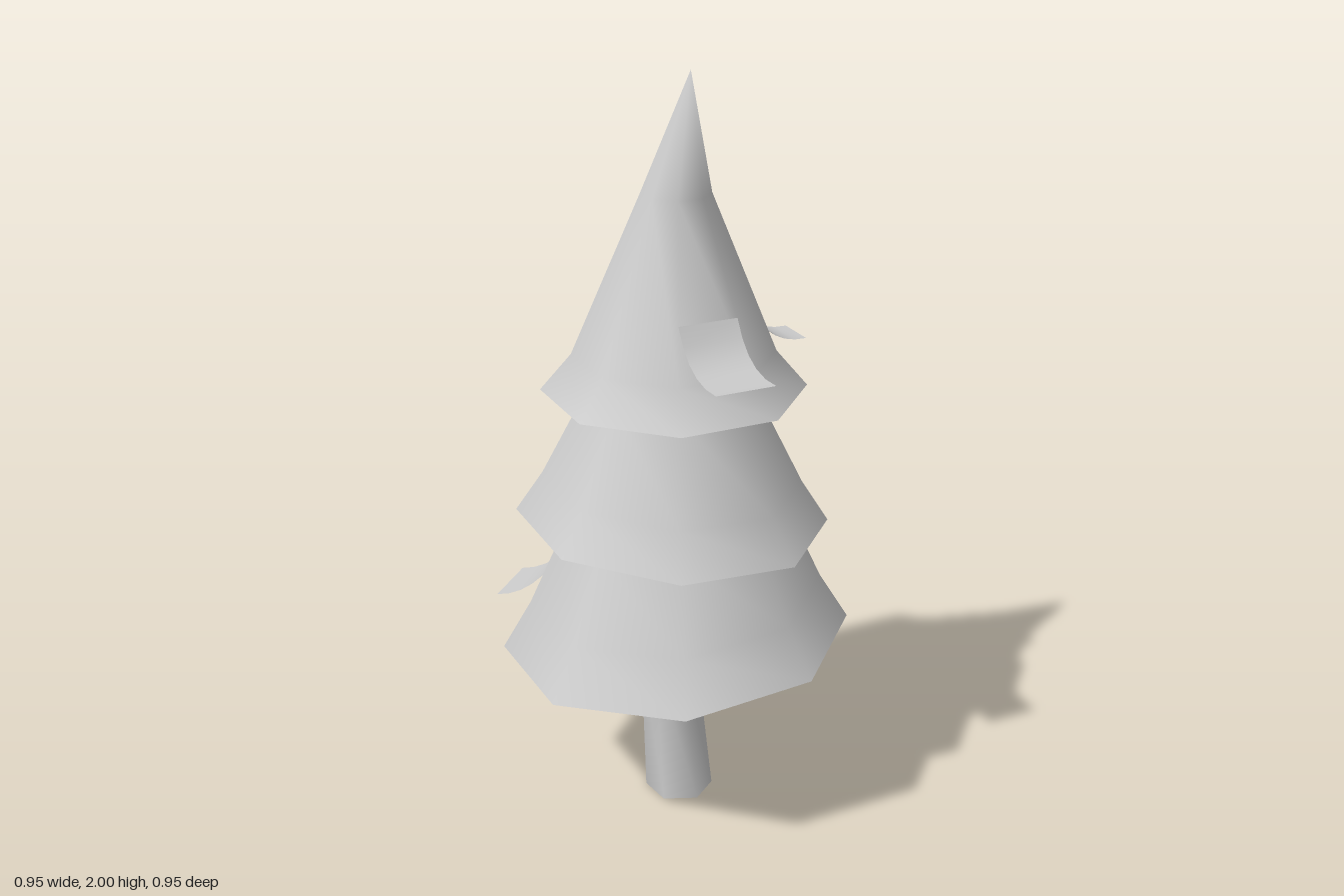
import * as THREE from 'three';
import { mergeVertices } from 'three/addons/utils/BufferGeometryUtils.js';

const material = new THREE.MeshStandardMaterial({ color: 0xcccccc });
const thinMaterial = new THREE.MeshStandardMaterial({ color: 0xcccccc, side: THREE.DoubleSide });

// Revolved profile of [radius, y, centreX], then leaned sideways and smoothed
function leaningLathe(profile, sides, tilt, cx, cz, start = 0) {
  const points = profile.map(([r, y]) => new THREE.Vector2(r, y));
  let geo = new THREE.LatheGeometry(points, sides, start);
  const pos = geo.attributes.position;
  for (let i = 0; i < pos.count; i++) {
    const shift = profile[i % profile.length][2] || 0;
    const x = pos.getX(i);
    pos.setXYZ(i, x + cx + shift, pos.getY(i) + tilt * x, pos.getZ(i) + cz);
  }
  geo.deleteAttribute('normal');
  geo.deleteAttribute('uv');
  geo = mergeVertices(geo, 1e-4);
  geo.computeVertexNormals();
  return geo;
}

// Eight-sided skirt of foliage with a separate flat underside
function foliageTier(name, profile, tilt, cx, cz) {
  const tier = new THREE.Group();
  tier.name = name;
  const [rim, y] = profile[0];
  const skirt = new THREE.Mesh(leaningLathe(profile, 8, tilt, cx, cz), material);
  skirt.name = name + 'Skirt';
  const under = new THREE.Mesh(leaningLathe([[0, y], [rim, y]], 8, tilt, cx, cz), material);
  under.name = name + 'Underside';
  tier.add(skirt, under);
  return tier;
}

// Curved sheet hanging outwards; curve is given as [radius, height] points
function branchFlap(name, degrees, width, [a, b, c]) {
  const geo = new THREE.PlaneGeometry(width, 1, 1, 5);
  const curve = new THREE.QuadraticBezierCurve(
    new THREE.Vector2(...a), new THREE.Vector2(...b), new THREE.Vector2(...c));
  const pos = geo.attributes.position;
  for (let i = 0; i < pos.count; i++) {
    const p = curve.getPoint(0.5 - pos.getY(i));
    pos.setXYZ(i, pos.getX(i), p.y, p.x);
  }
  geo.computeVertexNormals();
  const flap = new THREE.Mesh(geo, thinMaterial);
  flap.name = name;
  flap.rotation.y = THREE.MathUtils.degToRad(degrees);
  return flap;
}

export function createModel() {
  const tree = new THREE.Group();
  tree.name = 'tree';

  // Six-sided open trunk, leaning a little
  const trunk = new THREE.Mesh(
    leaningLathe([[0.092, 0, 0.017], [0.075, 0.42, -0.012], [0.073, 0.52, -0.016]],
      6, 0, 0, 0.015, Math.PI / 6), thinMaterial);
  trunk.name = 'trunk';
  tree.add(trunk);

  // Three stacked tiers, each flared at the rim
  tree.add(
    foliageTier('lowerTier', [[0.467, 0.48], [0.39, 0.61], [0.29, 0.83], [0.13, 1.16], [0, 1.24]], 0.075, 0.008, 0.004),
    foliageTier('middleTier', [[0.412, 0.83], [0.34, 0.94], [0.213, 1.19], [0.1, 1.45], [0, 1.53]], -0.061, 0, 0.004),
    foliageTier('upperTier', [[0.343, 1.19], [0.262, 1.285], [0.089, 1.7, 0.005], [0, 2, 0.04]], 0, 0.003, 0.004));

  // Loose branch flaps
  tree.add(
    branchFlap('frontBranch', 22.5, 0.16, [[0.2, 1.425], [0.26, 1.3], [0.403, 1.317]]),
    branchFlap('sideBranch', 112.5, 0.11, [[0.22, 1.35], [0.27, 1.28], [0.358, 1.285]]),
    branchFlap('backBranch', 157.5, 0.168, [[0.285, 0.79], [0.36, 0.63], [0.482, 0.61]]),
    branchFlap('lowBranch', 247.5, 0.17, [[0.31, 0.67], [0.39, 0.56], [0.482, 0.547]]));

  return tree;
}
